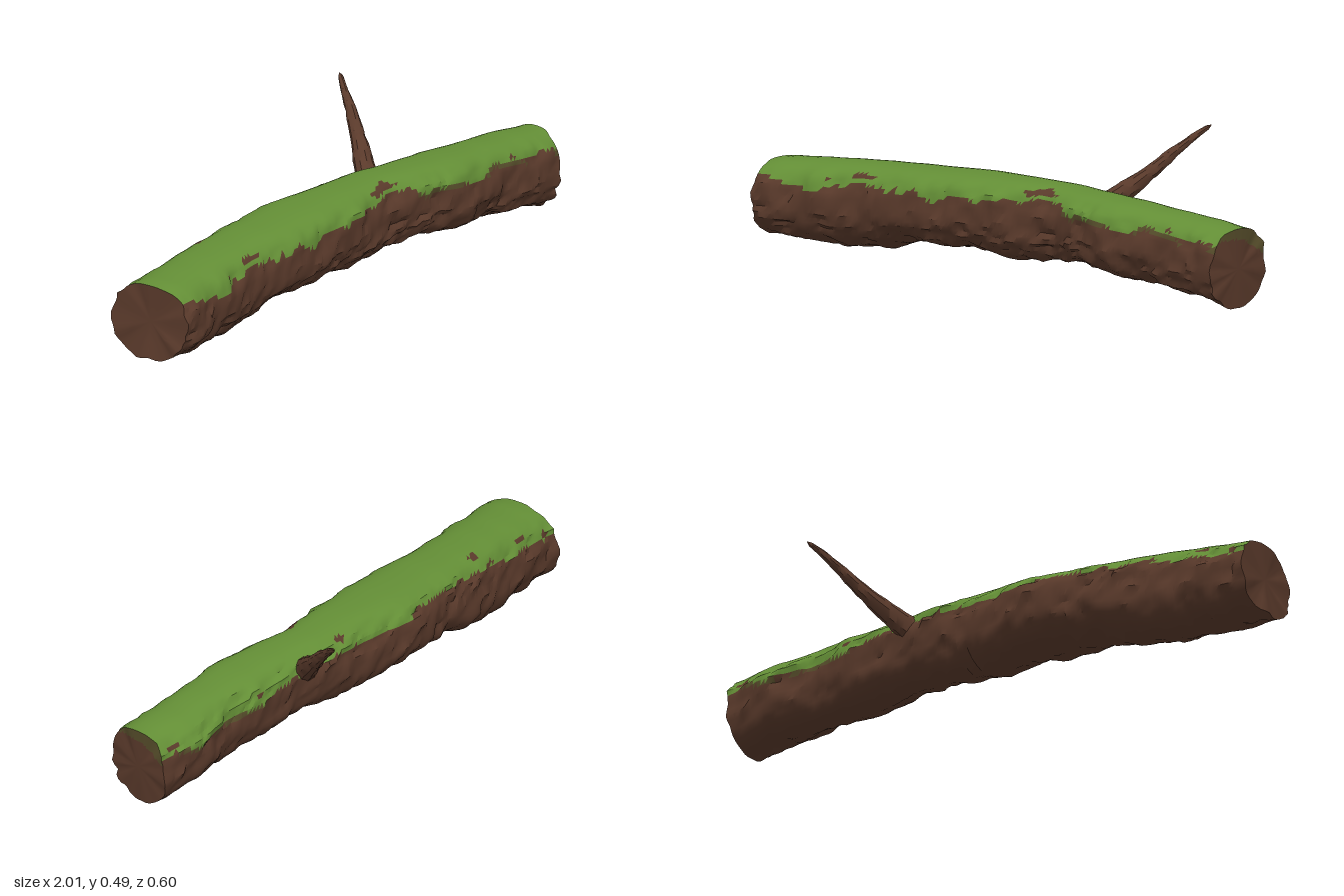
import * as THREE from 'three';
import { toCreasedNormals } from 'three/addons/utils/BufferGeometryUtils.js';

// log profile: x, top y, bottom y, back z, front z, moss line in front, moss line at the back
const PROFILE = [
  [-1.0, 0.272, 0.03, -0.008, 0.294, 0.235, 0.2],
  [-0.93, 0.28, 0.028, -0.005, 0.296, 0.222, 0.2],
  [-0.8, 0.287, 0.02, -0.02, 0.268, 0.215, 0.21],
  [-0.68, 0.293, 0.01, -0.035, 0.252, 0.222, 0.225],
  [-0.55, 0.298, 0.03, -0.045, 0.232, 0.235, 0.25],
  [-0.4, 0.304, 0.06, -0.055, 0.23, 0.228, 0.265],
  [-0.16, 0.311, 0.067, -0.082, 0.225, 0.238, 0.265],
  [0.02, 0.314, 0.052, -0.058, 0.205, 0.258, 0.25],
  [0.2, 0.312, 0.062, -0.05, 0.182, 0.272, 0.25],
  [0.35, 0.308, 0.072, -0.03, 0.205, 0.255, 0.24],
  [0.5, 0.302, 0.05, -0.03, 0.228, 0.228, 0.22],
  [0.68, 0.291, 0.042, -0.015, 0.212, 0.235, 0.215],
  [0.84, 0.28, 0.035, -0.03, 0.22, 0.23, 0.21],
  [1.0, 0.268, 0.002, -0.01, 0.224, 0.215, 0.195],
];

function profileAt(x) {
  let i = 0;
  while (i < PROFILE.length - 2 && x > PROFILE[i + 1][0]) i++;
  const a = PROFILE[i], b = PROFILE[i + 1];
  const t = THREE.MathUtils.smoothstep(x, a[0], b[0]) * 0.5 + (x - a[0]) / (b[0] - a[0]) * 0.5;
  return a.map((v, k) => v + (b[k] - v) * t);
}

// smooth value noise in -1..1
const hash = (i, j) => {
  const s = Math.sin(i * 127.1 + j * 311.7) * 43758.5453;
  return (s - Math.floor(s)) * 2 - 1;
};
function noise(u, v) {
  const i = Math.floor(u), j = Math.floor(v);
  const f = (t) => t * t * (3 - 2 * t);
  const a = f(u - i), b = f(v - j);
  return THREE.MathUtils.lerp(
    THREE.MathUtils.lerp(hash(i, j), hash(i + 1, j), a),
    THREE.MathUtils.lerp(hash(i, j + 1), hash(i + 1, j + 1), a), b);
}

// joins per-material index lists into one creased geometry with groups
function build(points, lists) {
  const g = new THREE.BufferGeometry();
  g.setAttribute('position', new THREE.Float32BufferAttribute(points.flat(), 3));
  g.setIndex(lists.flat());
  let start = 0;
  lists.forEach((l, m) => { g.addGroup(start, l.length, m); start += l.length; });
  return toCreasedNormals(g, 0.6);
}

function logGeometry() {
  const ROWS = 120, SEG = 48, pts = [];
  const bark = [], moss = [], stain = [];
  const power = (v, e) => Math.sign(v) * Math.pow(Math.abs(v), e);

  for (let i = 0; i <= ROWS; i++) {
    const x0 = -0.982 + (1.964 * i) / ROWS;
    const [, top, bottom, back, front] = profileAt(x0);
    const cy = (top + bottom) / 2, cz = (front + back) / 2;
    // the top is flatter along the middle than at the ends
    const flat = 1 - THREE.MathUtils.smoothstep(Math.abs(x0), 0.55, 0.95);
    for (let j = 0; j < SEG; j++) {
      const a = (j / SEG) * Math.PI * 2, s = Math.sin(a), c = Math.cos(a);
      // bark is lumpy, the mossy top stays smoother
      const rough = 1 - THREE.MathUtils.smoothstep(s, 0.45, 0.95);
      const ledge = noise(x0 * 15, c * 2.5 + s * 4 + 20);
      const bump = rough * (0.011 * ledge + 0.006 * noise(x0 * 38 + 9, c * 5 + s * 7 + 50));
      const e = s > 0 ? 0.85 - 0.13 * flat : 0.87;
      const y = cy + power(s, e) * ((top - bottom) / 2) + s * bump;
      const z = cz + power(c, e) * ((front - back) / 2) + c * bump;
      // broken, slightly slanted ends
      let x = x0;
      if (i === 0) x += -0.006 + 0.008 * s + 0.008 * c + 0.008 * noise(j * 0.4, 3);
      if (i === ROWS) x += 0.002 + 0.006 * s - 0.01 * c + 0.008 * noise(j * 0.4, 7);
      pts.push([x, Math.max(0.001, y), z]);
    }
  }

  const centre = (t) => [0, 1, 2].map((k) => (pts[t[0]][k] + pts[t[1]][k] + pts[t[2]][k]) / 3);
  // moss above a wandering line, a few bare holes just over it, stained patches just under it
  const sideList = ([x, y, z]) => {
    const p = profileAt(x), inFront = z > (p[3] + p[4]) / 2;
    const line = (inFront ? p[5] : p[6]) + 0.02 * noise(x * 12, inFront ? 4.5 : 8.5)
      + 0.008 * noise(x * 30, y * 25);
    if (y > line) {
      const hole = y < line + 0.04 && noise(x * 17 + 3, y * 45 + (inFront ? 0 : 40)) > 0.66;
      return hole ? bark : moss;
    }
    const stained = x > 0.3 && y > line - 0.014 && noise(x * 9, inFront ? 60.5 : 70.5) > 0;
    return stained ? stain : bark;
  };
  const addSide = (...t) => sideList(centre(t)).push(...t);
  for (let i = 0; i < ROWS; i++) {
    for (let j = 0; j < SEG; j++) {
      const k = (j + 1) % SEG, a = i * SEG + j, d = i * SEG + k;
      addSide(a, a + SEG, d + SEG);
      addSide(a, d + SEG, d);
    }
  }

  // end caps: shrinking rings, then a hub
  [0, ROWS].forEach((row) => {
    const right = row === ROWS, rim = row * SEG;
    const [, top, bottom, back, front] = profileAt(right ? 1 : -1);
    const hub = [right ? 0.99 : -0.984, (top + bottom) / 2, (front + back) / 2];
    const addCap = (a, b, c) => {
      const t = right ? [a, c, b] : [a, b, c];
      const [, y, z] = centre(t);
      // moss-stained wood along the upper back of one end
      const stained = right && y > Math.min(0.234, 0.176 + 0.6 * z);
      (stained ? stain : bark).push(...t);
    };
    let outer = rim;
    [0.07, 0.14, 0.21, 0.28, 0.35, 0.45].forEach((shrink) => {
      const ring = pts.length;
      for (let j = 0; j < SEG; j++) {
        pts.push(pts[rim + j].map((v, k) => THREE.MathUtils.lerp(v, hub[k], shrink)));
      }
      for (let j = 0; j < SEG; j++) {
        const k = (j + 1) % SEG;
        addCap(ring + j, outer + j, outer + k);
        addCap(ring + j, outer + k, ring + k);
      }
      outer = ring;
    });
    pts.push(hub);
    for (let j = 0; j < SEG; j++) addCap(pts.length - 1, outer + j, outer + (j + 1) % SEG);
  });
  return build(pts, [bark, moss, stain]);
}

// tapering knobbly twig swept along a curve
function branchGeometry() {
  const curve = new THREE.CatmullRomCurve3([
    [0.28, 0.235, 0.0], [0.32, 0.277, -0.05], [0.37, 0.335, -0.115],
    [0.425, 0.41, -0.195], [0.455, 0.452, -0.245], [0.493, 0.495, -0.3],
  ].map((p) => new THREE.Vector3(...p)));
  const ROWS = 30, SEG = 10;
  const g = new THREE.TubeGeometry(curve, ROWS, 1, SEG, false);
  const pos = g.attributes.position, p = new THREE.Vector3();
  for (let i = 0; i <= ROWS; i++) {
    const t = i / ROWS, c = curve.getPointAt(t);
    const radius = i === ROWS ? 0.001 : 0.043 - 0.036 * Math.pow(t, 0.9);
    for (let j = 0; j <= SEG; j++) {
      const n = i * (SEG + 1) + j;
      const r = radius * (1 + 0.12 * noise(i * 0.55, (j % SEG) * 0.7 + 30));
      p.fromBufferAttribute(pos, n).sub(c).multiplyScalar(r).add(c);
      pos.setXYZ(n, p.x, p.y, p.z);
    }
  }
  g.deleteAttribute('normal');
  g.deleteAttribute('uv');
  return toCreasedNormals(g, 0.6);
}

export function createModel() {
  const material = (name, color) => Object.assign(new THREE.MeshStandardMaterial({ color }), { name });
  const bark = material('bark brown', 0x5a3a2b);
  const moss = material('moss green', 0x648f36);
  const stain = material('mossy wood', 0x554c2a);

  const group = new THREE.Group();
  group.name = 'mossyLog';
  const add = (name, geometry, mat) => {
    const mesh = new THREE.Mesh(geometry, mat);
    mesh.name = name;
    group.add(mesh);
  };
  add('trunk', logGeometry(), [bark, moss, stain]);
  add('branch', branchGeometry(), bark);
  return group;
}
